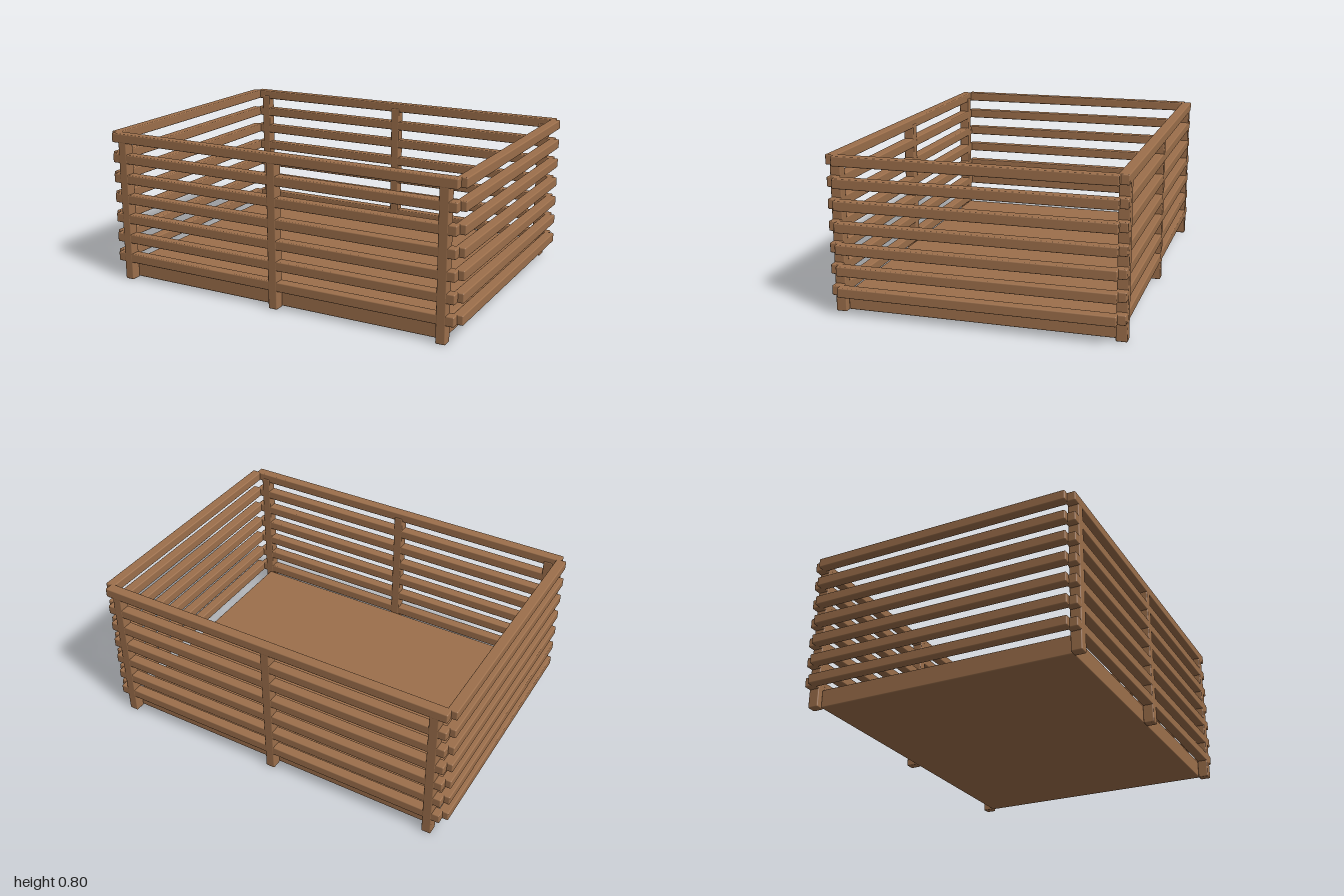
import * as THREE from 'three';
import { RoundedBoxGeometry } from 'three/addons/geometries/RoundedBoxGeometry.js';

export function createModel() {
  const model = new THREE.Group();
  model.name = 'slattedCrate';
  const wood = new THREE.MeshStandardMaterial({ color: 0x9c6f4b });
  wood.name = 'wood';

  // Timber with softly eased edges, centred on x and z, standing on y
  const timber = (name, w, h, d, x, y, z) => {
    const mesh = new THREE.Mesh(new RoundedBoxGeometry(w, h, d, 2, 0.006), wood);
    mesh.name = name;
    mesh.position.set(x, y + h / 2, z);
    model.add(mesh);
  };

  // Solid floor
  timber('floor', 1.8, 0.095, 1.35, 0, 0.003, 0);

  // Three posts on the front and three on the back
  for (const side of [1, -1]) {
    for (const x of [-0.905, 0, 0.905]) {
      timber(side > 0 ? 'frontPost' : 'backPost', 0.05, 0.77, 0.056, x, 0, side * 0.702);
    }
  }

  // Seven courses of rails around all four sides
  const courses = 7;
  for (let i = 0; i < courses; i++) {
    const y = 0.096 + i * 0.109;
    const top = i === courses - 1;
    for (const side of [1, -1]) {
      // the top rail caps the posts, the lower ones sit just behind their faces
      timber(side > 0 ? 'frontRail' : 'backRail', 1.94, 0.05, 0.054, 0, y, side * (top ? 0.704 : 0.702));
      timber(side > 0 ? 'leftRail' : 'rightRail', 0.053, 0.05, 1.38, side * 0.9735, y, 0);
    }
  }
  return model;
}
